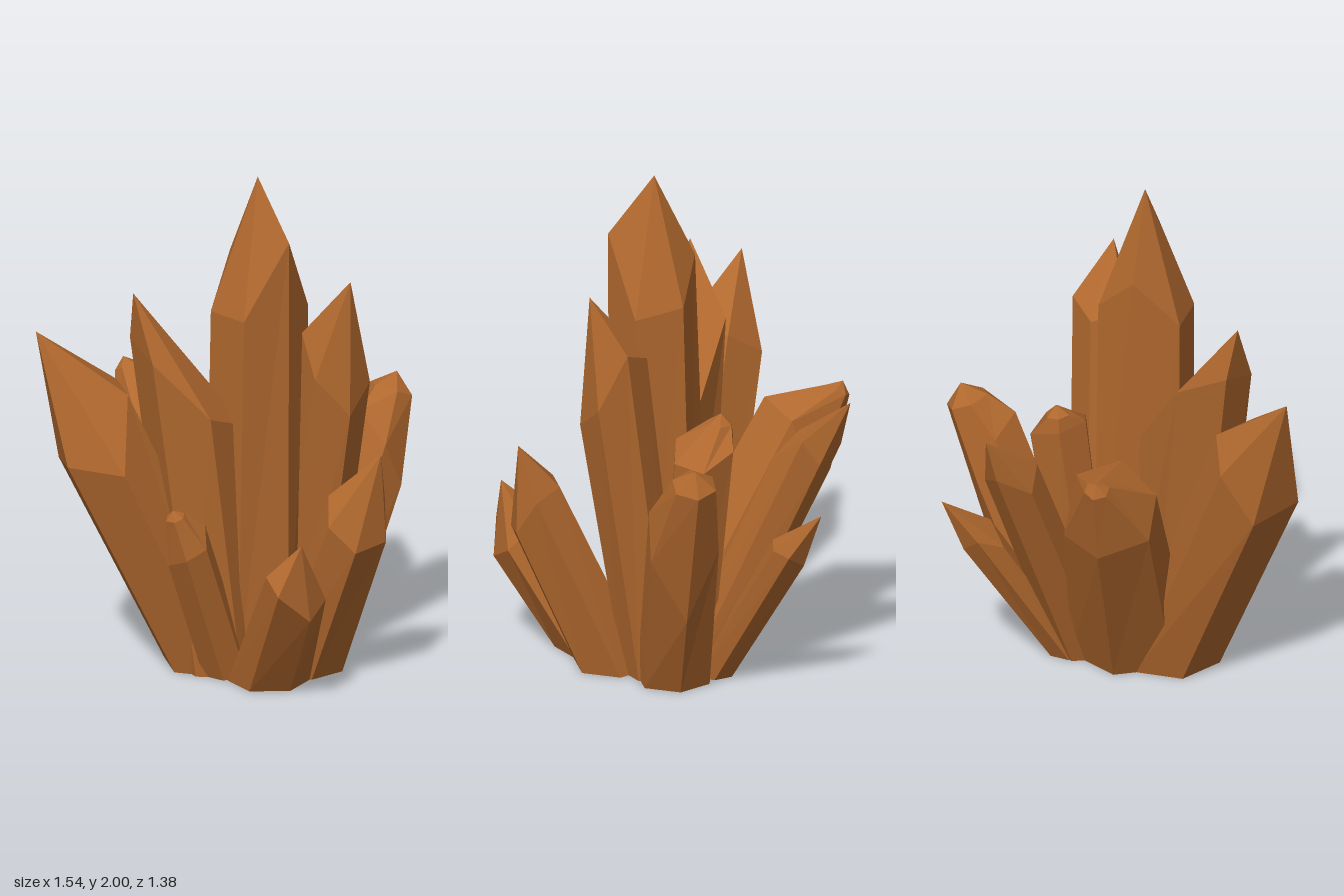
import * as THREE from 'three';

const SIDES = 6;
const UP = new THREE.Vector3(0, 1, 0);
const TAPER = 0.45; // how fast the shoulder narrows with height

// Ring of points around a centre, square to the axis
function ring(centre, radius, axis, twist) {
  return Array.from({ length: SIDES }, (_, i) => {
    const a = THREE.MathUtils.degToRad(twist) + (i / SIDES) * Math.PI * 2;
    const out = new THREE.Vector3(Math.cos(a), 0, Math.sin(a));
    return out.addScaledVector(axis, -out.dot(axis)).setLength(radius).add(centre);
  });
}

// Faceted prism from a flat foot to an uneven shoulder and a tip.
// base: [x, z, radius]; shoulder: [x, y, z, radius]; heights: y of each shoulder corner;
// twist: angle of the first corner (0 = +x, 90 = +z); blunt: radius of a facet ring below the tip
function crystalGeometry({ base, shoulder, heights, tip, twist, blunt }) {
  const foot = new THREE.Vector3(base[0], 0, base[1]);
  const mid = new THREE.Vector3(shoulder[0], shoulder[1], shoulder[2]);
  const top = new THREE.Vector3(...tip);
  const axis = mid.clone().sub(foot).normalize();

  const shoulderRing = ring(mid, shoulder[3], axis, twist);
  shoulderRing.forEach((p, i) => {
    p.lerp(mid, (heights[i] - mid.y) * TAPER);
    p.addScaledVector(axis, (heights[i] - p.y) / axis.y);
  });
  const rings = [ring(foot, base[2], UP, twist), shoulderRing];
  if (blunt) rings.push(ring(top.clone().addScaledVector(axis, -blunt * 0.8), blunt, axis, twist));

  const points = [];
  for (let i = 0; i < SIDES; i++) {
    const j = (i + 1) % SIDES;
    points.push(foot, rings[0][i], rings[0][j]);
    for (let k = 0; k + 1 < rings.length; k++) {
      const [lo, hi] = [rings[k], rings[k + 1]];
      points.push(lo[i], hi[i], lo[j], lo[j], hi[i], hi[j]);
    }
    const last = rings[rings.length - 1];
    points.push(last[i], top, last[j]);
  }
  const geometry = new THREE.BufferGeometry().setFromPoints(points);
  geometry.computeVertexNormals();
  return geometry;
}

export function createModel() {
  const group = new THREE.Group();
  group.name = 'crystalCluster';
  const material = new THREE.MeshStandardMaterial({ color: 0xb0682e, flatShading: true });
  const add = (name, spec) => {
    const crystal = new THREE.Mesh(crystalGeometry(spec), material);
    crystal.name = name;
    group.add(crystal);
  };

  // Tall crystals in the middle
  add('mainCrystal', {
    base: [-0.03, 0.07, 0.2], shoulder: [-0.03, 1.46, 0.1, 0.195], twist: 30,
    heights: [1.46, 1.77, 1.46, 1.46, 1.66, 1.5], tip: [-0.03, 2.0, 0.09],
  });
  add('frontRightTallCrystal', {
    base: [0.17, 0.13, 0.12], shoulder: [0.19, 1.23, 0.29, 0.145], twist: 40,
    heights: [1.15, 1.05, 1.2, 1.36, 1.33, 1.38], tip: [0.19, 1.59, 0.39],
  });
  add('leftTallCrystal', {
    base: [-0.17, 0.03, 0.18], shoulder: [-0.3, 1.2, -0.05, 0.2], twist: -15,
    heights: [1.0, 1.0, 1.08, 1.3, 1.36, 1.3], tip: [-0.48, 1.56, -0.14],
  });
  add('innerCrystal', {
    base: [0.17, 0, 0.11], shoulder: [0.28, 0.95, -0.05, 0.13], twist: 10,
    heights: [0.9, 0.92, 0.98, 1.02, 1.0, 0.97], tip: [0.27, 1.1, -0.12], blunt: 0.05,
  });

  // Leaning crystals at the back
  add('backLeftCrystal', {
    base: [-0.17, -0.02, 0.2], shoulder: [-0.56, 0.97, -0.24, 0.205], twist: 0,
    heights: [1.16, 1.16, 0.86, 0.88, 0.85, 1.06], tip: [-0.76, 1.4, -0.4],
  });
  add('backCrystal', {
    base: [0, 0, 0.24], shoulder: [-0.06, 0.85, -0.46, 0.19], twist: 30,
    heights: [0.98, 1.03, 0.92, 0.78, 0.72, 0.74], tip: [-0.06, 1.08, -0.67], blunt: 0.05,
  });
  add('backRightCrystal', {
    base: [0.17, -0.06, 0.12], shoulder: [0.35, 0.95, -0.45, 0.11], twist: 40,
    heights: [1.02, 0.93, 1.0, 0.9, 0.98, 0.92], tip: [0.41, 1.16, -0.61],
  });
  add('backRightSmallCrystal', {
    base: [0.23, -0.1, 0.08], shoulder: [0.53, 0.6, -0.34, 0.08], twist: 10,
    heights: [0.6, 0.62, 0.64, 0.55, 0.6, 0.55], tip: [0.64, 0.78, -0.45],
  });

  // Leaning crystals at the sides and front
  add('sideCrystal', {
    base: [0.27, 0.07, 0.15], shoulder: [0.55, 0.68, 0.09, 0.15], twist: 0,
    heights: [0.36, 0.62, 0.8, 0.92, 0.85, 0.65], tip: [0.72, 1.03, 0.07], blunt: 0.09,
  });
  add('leftSmallCrystal', {
    base: [-0.22, 0.12, 0.1], shoulder: [-0.44, 0.57, 0.14, 0.095], twist: 20,
    heights: [0.66, 0.58, 0.54, 0.5, 0.56, 0.64], tip: [-0.52, 0.74, 0.14], blunt: 0.04,
  });
  add('frontLeftCrystal', {
    base: [-0.16, 0.3, 0.16], shoulder: [-0.28, 0.45, 0.58, 0.13], twist: 40,
    heights: [0.42, 0.36, 0.48, 0.54, 0.54, 0.5], tip: [-0.3, 0.67, 0.65],
  });
  add('frontCrystal', {
    base: [0.05, 0.27, 0.16], shoulder: [0.05, 0.65, 0.56, 0.14], twist: 0,
    heights: [0.74, 0.6, 0.58, 0.68, 0.78, 0.78], tip: [0.11, 0.96, 0.66],
  });
  return group;
}
